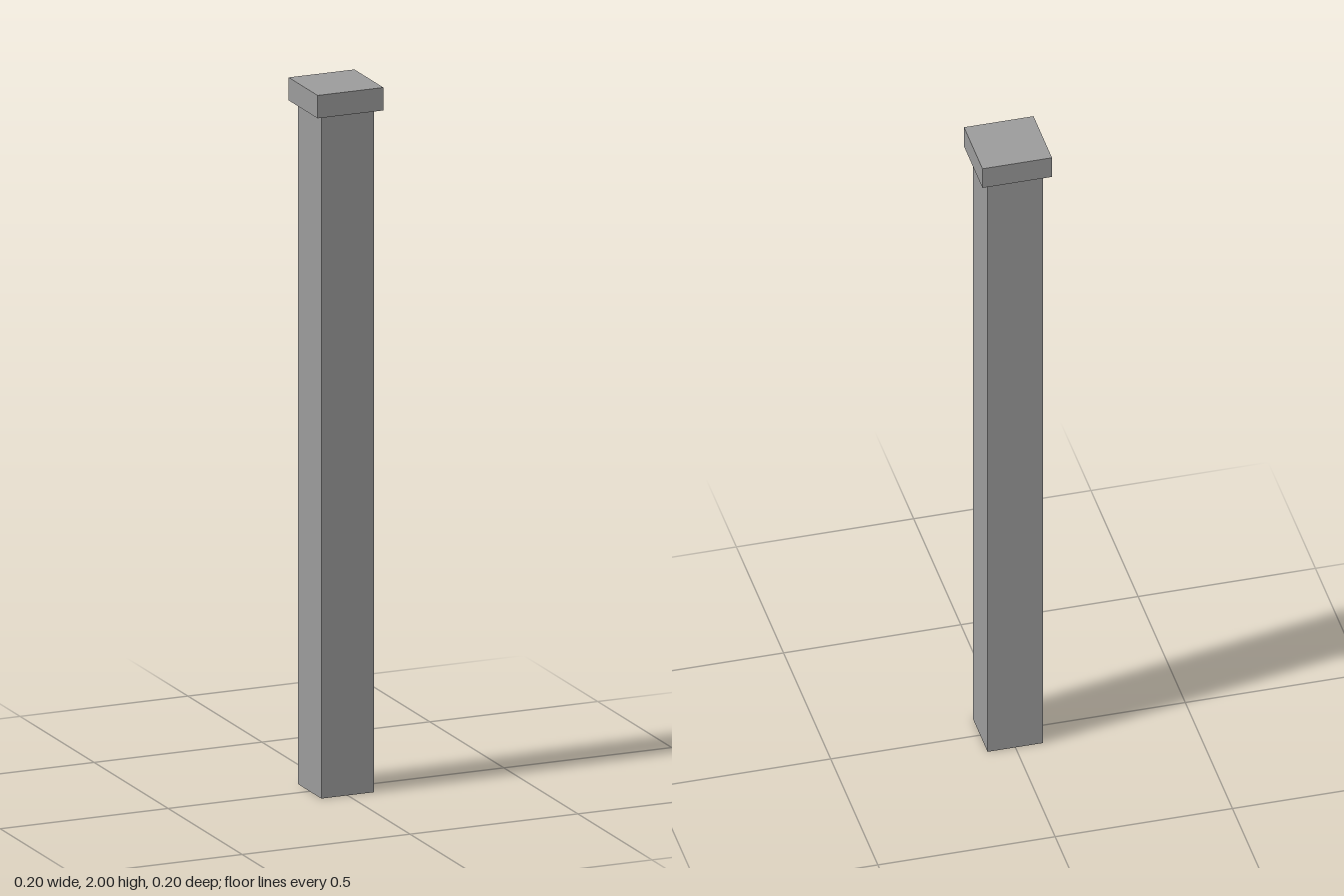
import * as THREE from 'three';

export function createModel() {
  const post = new THREE.Group();
  post.name = 'post';
  const material = new THREE.MeshStandardMaterial({ color: 0x9b9b9b });

  // Square block standing on height y
  const addBlock = (name, width, height, y) => {
    const mesh = new THREE.Mesh(new THREE.BoxGeometry(width, height, width), material);
    mesh.name = name;
    mesh.position.y = y + height / 2;
    post.add(mesh);
  };

  const capHeight = 0.065;
  const shaftHeight = 2 - capHeight;
  addBlock('shaft', 0.157, shaftHeight, 0);
  addBlock('cap', 0.196, capHeight, shaftHeight);

  return post;
}
